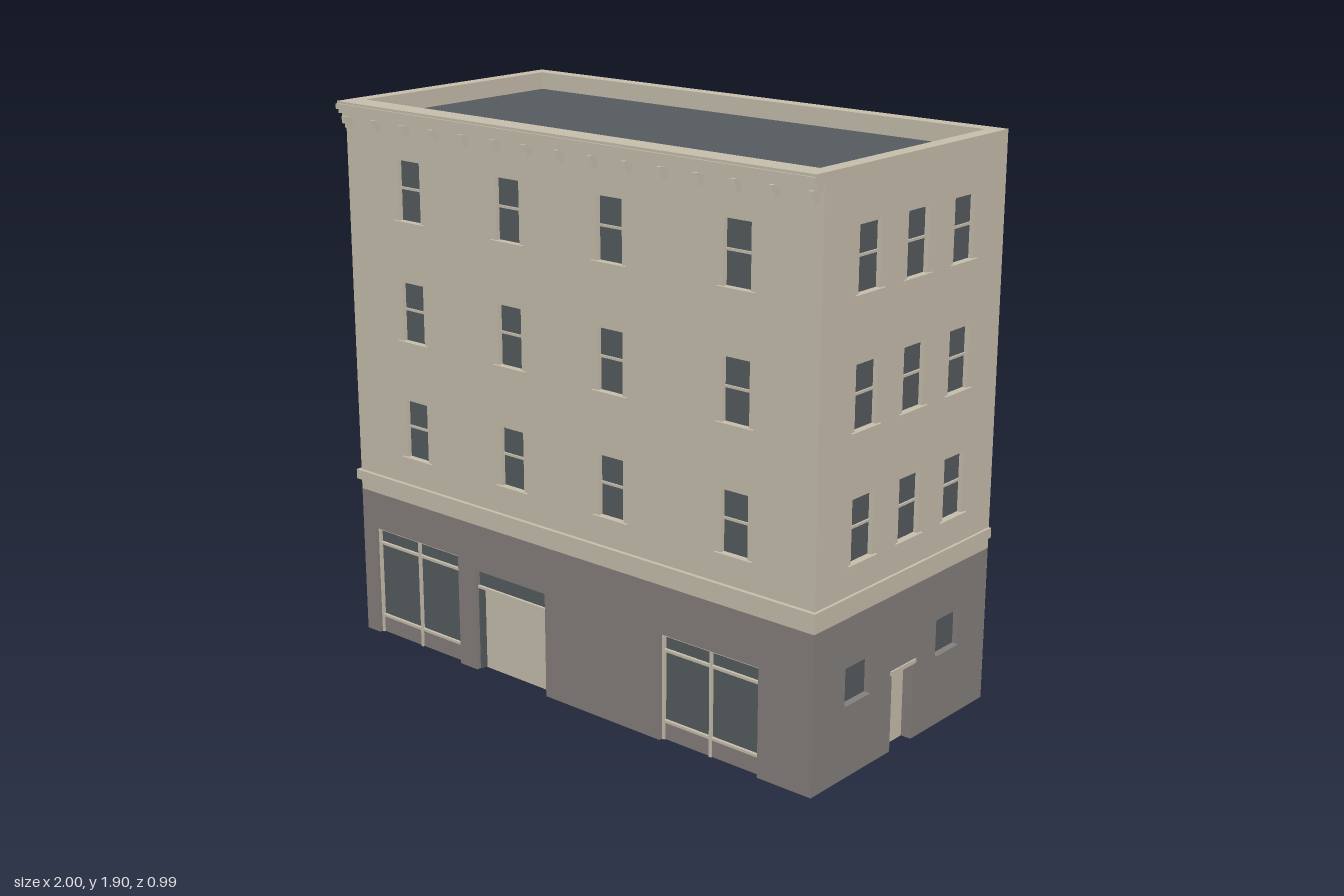
import * as THREE from 'three';

const W = 1.98, TOP = 1.9, SPLIT = 0.53, THICK = 0.038;

export function createModel() {
  const plaster = new THREE.MeshStandardMaterial({ name: 'plaster', color: 0xc8c0ae });
  const stone = new THREE.MeshStandardMaterial({ name: 'groundFloorStone', color: 0x86807d });
  const slate = new THREE.MeshStandardMaterial({ name: 'slateGlass', color: 0x565c60 });

  // box given by its min and max corners
  function box(parent, name, mat, x0, x1, y0, y1, z0, z1) {
    const mesh = new THREE.Mesh(new THREE.BoxGeometry(x1 - x0, y1 - y0, z1 - z0), mat);
    mesh.position.set((x0 + x1) / 2, (y0 + y1) / 2, (z0 + z1) / 2);
    mesh.name = name;
    parent.add(mesh);
    return mesh;
  }

  // wall slab behind z = 0; doors are notches in the foot, windows are holes
  function wall(parent, name, mat, width, y0, y1, holes, notches = []) {
    const s = new THREE.Shape();
    s.moveTo(-width / 2, y0);
    for (const [x0, x1, top] of notches) {
      s.lineTo(x0, y0);
      s.lineTo(x0, top);
      s.lineTo(x1, top);
      s.lineTo(x1, y0);
    }
    s.lineTo(width / 2, y0);
    s.lineTo(width / 2, y1);
    s.lineTo(-width / 2, y1);
    s.closePath();
    for (const [x0, x1, a, b] of holes) {
      const h = new THREE.Path();
      h.moveTo(x0, a);
      h.lineTo(x0, b);
      h.lineTo(x1, b);
      h.lineTo(x1, a);
      h.closePath();
      s.holes.push(h);
    }
    const mesh = new THREE.Mesh(new THREE.ExtrudeGeometry(s, { depth: THICK, bevelEnabled: false }), mat);
    mesh.position.z = -THICK;
    mesh.name = name;
    parent.add(mesh);
  }

  // three storeys of sash windows with sills
  function upperStoreys(parent, width, centres, half) {
    const holes = [];
    for (const y of [0.7, 1.112, 1.524]) {
      for (const c of centres) {
        holes.push([c - half, c + half, y, y + 0.203]);
        const win = new THREE.Group();
        win.name = 'sashWindow';
        box(win, 'windowGlass', slate, c - half, c + half, y, y + 0.203, -0.03, -0.016);
        box(win, 'meetingRail', plaster, c - half, c + half, y + 0.105, y + 0.113, -0.02, -0.01);
        box(win, 'windowSill', plaster, c - 0.072, c + 0.072, y - 0.011, y, -0.01, 0.009);
        parent.add(win);
      }
    }
    wall(parent, 'upperWall', plaster, width, SPLIT, TOP, holes);
  }

  // shop window: glass, stall riser, frame and bars
  function shopWindow(parent, x0, x1, top) {
    const g = new THREE.Group(), t = 0.009, mid = (x0 + x1) / 2;
    g.name = 'shopWindow';
    box(g, 'shopGlass', slate, x0, x1, 0.06, top, -0.032, -0.022);
    box(g, 'stallRiser', stone, x0, x1, 0, 0.062, -0.032, -0.018);
    for (const x of [x0, mid - t / 2, x1 - t]) box(g, 'mullion', plaster, x, x + t, 0, top, -0.026, -0.012);
    for (const y of [0.06, top - 0.062, top - t]) box(g, 'frameBar', plaster, x0, x1, y, y + t, -0.026, -0.012);
    parent.add(g);
  }

  const model = new THREE.Group();
  model.name = 'building';

  // front facade
  const front = new THREE.Group();
  front.name = 'frontFacade';
  front.position.z = 0.45;
  model.add(front);
  upperStoreys(front, W, [-0.693, -0.241, 0.191, 0.686], 0.051);
  wall(front, 'groundWall', stone, W, 0, SPLIT, [],
    [[-0.927, -0.513, 0.397], [-0.432, -0.106, 0.366], [0.392, 0.785, 0.366]]);
  shopWindow(front, -0.927, -0.513, 0.397);
  shopWindow(front, 0.392, 0.785, 0.366);

  // entrance with fanlight and two leaves opened inwards
  box(front, 'fanlight', slate, -0.432, -0.106, 0.304, 0.366, -0.032, -0.022);
  box(front, 'entranceBeam', plaster, -0.432, -0.106, 0.297, 0.306, -0.032, -0.012);
  for (const x of [-0.428, -0.116]) box(front, 'entranceLeaf', slate, x, x + 0.007, 0.003, 0.297, -0.17, -0.012);

  // cornice mouldings and brackets
  box(front, 'corniceBed', plaster, -0.985, 0.985, 1.845, 1.862, -0.01, 0.022);
  box(front, 'corniceShelf', plaster, -0.988, 0.988, 1.86, 1.876, -0.01, 0.034);
  box(front, 'corniceCrown', plaster, -0.989, 0.989, 1.874, 1.892, -0.01, 0.044);
  box(front, 'corniceCap', plaster, -0.989, 0.989, 1.89, TOP, -0.01, 0.038);
  for (let i = 0; i < 15; i++) {
    const x = -0.965 + i * 0.1379;
    box(front, 'corniceBracket', plaster, x - 0.008, x + 0.008, 1.827, 1.85, -0.005, 0.034);
    box(front, 'bracketFoot', plaster, x - 0.006, x + 0.006, 1.81, 1.83, -0.005, 0.022);
  }
  box(front, 'beltCourse', plaster, -1, 1, 0.568, 0.602, -0.02, 0.014);

  // the two side facades
  for (const s of [1, -1]) {
    const side = new THREE.Group();
    side.name = s > 0 ? 'leftFacade' : 'rightFacade';
    side.position.set(s * W / 2, 0, -0.02);
    side.rotation.y = s * Math.PI / 2;
    model.add(side);
    upperStoreys(side, 0.94, [-0.243, 0, 0.245], 0.054);
    const holes = [-0.245, 0.245].map(c => [c - 0.063, c + 0.063, 0.245, 0.367]);
    wall(side, 'groundWall', stone, 0.94, 0, SPLIT, holes, [[-0.059, 0.059, 0.262]]);
    for (const [x0, x1, y0, y1] of holes) {
      box(side, 'smallWindow', slate, x0, x1, y0, y1, -0.03, -0.018);
      box(side, 'smallSill', stone, x0, x1, y0 - 0.008, y0, -0.01, 0.006);
    }
    box(side, 'doorLintel', plaster, -0.068, 0.068, 0.262, 0.276, -0.01, 0.005);
    box(side, 'sideDoor', stone, -0.057, -0.051, 0.003, 0.26, -0.13, -0.012);
    box(side, 'beltCourse', plaster, -0.469, 0.469, 0.568, 0.602, -0.02, 0.01);
  }

  // plain back wall, inner lining and sunken flat roof
  box(model, 'backWall', plaster, -0.989, 0.989, 0, TOP, -0.492, -0.44);
  box(model, 'frontLining', plaster, -0.952, 0.952, 0, TOP, 0.405, 0.413);
  for (const s of [1, -1]) {
    const x = s * 0.946;
    box(model, 'sideLining', plaster, x - 0.007, x + 0.007, 0, TOP, -0.445, 0.412);
  }
  box(model, 'roof', slate, -0.945, 0.945, 1.825, 1.84, -0.445, 0.41);

  return model;
}
